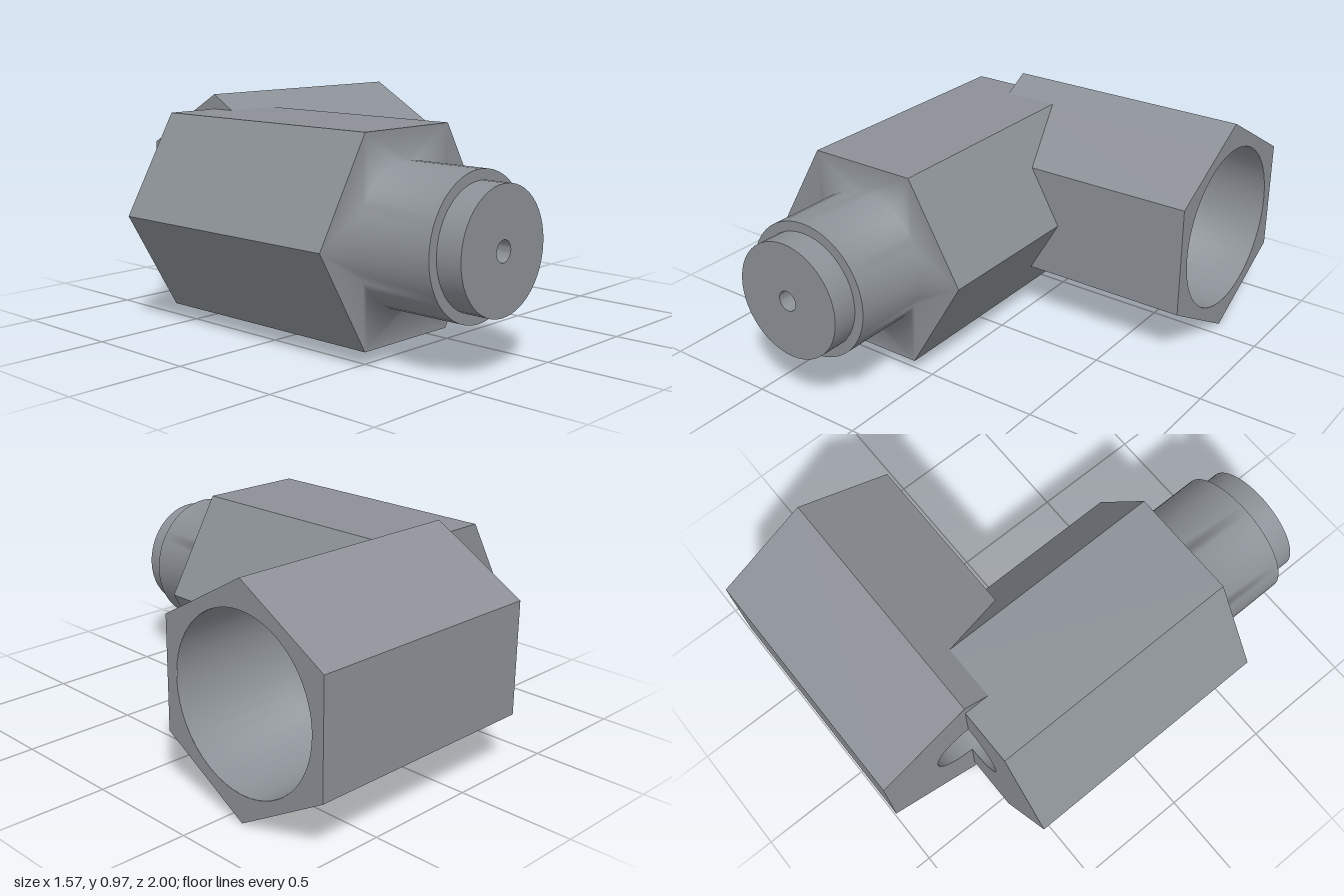
import * as THREE from 'three';
import { toCreasedNormals } from 'three/addons/utils/BufferGeometryUtils.js';

const R = 0.483;      // hexagon corner radius
const BORE = 0.17;    // radius of the two meeting bores
const SEG = 48;

const polar = (r, a) => [r * Math.cos(a), r * Math.sin(a)];
const hex = (turn) => Array.from({ length: 6 }, (_, k) => polar(R, turn + k * Math.PI / 3));

// Wall swept along z: each ring point is [x, y, startZ]
function sweep(ring, end, inward = false) {
  const pos = [];
  ring.forEach((p, i) => {
    const q = ring[(i + 1) % ring.length];
    const a = p, b = q, c = [q[0], q[1], end], d = [p[0], p[1], end];
    const tris = inward ? [a, c, b, a, d, c] : [a, b, c, a, c, d];
    tris.forEach((v) => pos.push(...v));
  });
  const g = new THREE.BufferGeometry();
  g.setAttribute('position', new THREE.Float32BufferAttribute(pos, 3));
  return toCreasedNormals(g, 0.6);
}

// Bore wall whose one half is mitred where it meets the other bore
function boreWall(side, end) {
  const ring = Array.from({ length: SEG }, (_, i) => {
    const [x, y] = polar(BORE, i * 2 * Math.PI / SEG);
    return [x, y, Math.max(0, side * x)];
  });
  return sweep(ring, end, true);
}

// Exposed part of a prism end, notched by half of the bore
function endCap(points) {
  const s = new THREE.Shape(points.map(([x, y]) => new THREE.Vector2(x, y)));
  s.lineTo(0, BORE);
  s.absarc(0, 0, BORE, Math.PI / 2, -Math.PI / 2, true);
  return new THREE.ShapeGeometry(s, SEG / 2);
}

// Surface of revolution about z from [radius, z] pairs
function turned(points) {
  return new THREE.LatheGeometry(points.map(([r, z]) => new THREE.Vector2(r, z)), SEG).rotateX(Math.PI / 2);
}

// Hexagon shoulder blended smoothly into the round spigot
function shoulderAndSpigot(r, z0, z1) {
  const pos = [], idx = [], per = SEG / 6;
  for (const z of [z0, z1]) {
    for (let i = 0; i < SEG; i++) pos.push(...polar(r, i * 2 * Math.PI / SEG), z);
  }
  hex(0).forEach((p) => pos.push(...p, z0));
  for (let i = 0; i < SEG; i++) {
    const j = (i + 1) % SEG;
    idx.push(i, j, SEG + j, i, SEG + j, SEG + i);
  }
  for (let k = 0; k < 6; k++) {
    const corner = 2 * SEG + k, next = 2 * SEG + (k + 1) % 6;
    for (let n = -per / 2; n < per / 2; n++) {
      const i = (k * per + n + SEG) % SEG;
      idx.push(corner, (i + 1) % SEG, i);
    }
    idx.push(corner, next, k * per + per / 2);
  }
  const g = new THREE.BufferGeometry();
  g.setAttribute('position', new THREE.Float32BufferAttribute(pos, 3));
  g.setIndex(idx);
  g.computeVertexNormals();
  return g;
}

export function createModel() {
  const metal = new THREE.MeshStandardMaterial({ color: 0x8c9197 });
  metal.name = 'grey metal';

  const model = new THREE.Group();
  model.name = 'elbowFitting';
  // Both arms start where their axes cross
  const arm = (name, turn) => {
    const g = new THREE.Group();
    g.name = name;
    g.position.set(-0.302, 0.484, -0.583);
    g.rotation.y = turn;
    model.add(g);
    return (part, geometry) => {
      const m = new THREE.Mesh(geometry, metal);
      m.name = part;
      g.add(m);
    };
  };

  // Male arm, running to the front
  const male = arm('maleArm', 0);
  const maleEnd = 1.123, step = 1.473, tip = 1.583, boreEnd = 1.0;
  // the corner inside the other arm is cut back to keep the bore clear
  male('maleHexBody', sweep(hex(0).map((p, k) => [...p, k === 0 ? 0.383 : 0]), maleEnd));
  const h = R * Math.sqrt(3) / 2;
  male('maleBackFace', endCap([[0, -h], [R / 2, -h], [R, 0], [R / 2, h], [0, h]]).rotateY(Math.PI));
  male('shoulderAndSpigot', shoulderAndSpigot(0.292, maleEnd, step));
  male('spigotTipAndJet', toCreasedNormals(turned([
    [0.292, step], [0.25, step], [0.25, tip], [0.043, tip], [0.043, boreEnd], [BORE, boreEnd],
  ]), 0.6));
  male('maleBore', boreWall(1, boreEnd));

  // Female arm, running to the left
  const female = arm('femaleArm', Math.PI / 2);
  const mouth = 1.087, socket = 0.363, seat = 0.4;
  const edge = 0.12, edgeY = R - edge / Math.sqrt(3);
  const ring = hex(Math.PI / 6).map((p, k) => [...p, k === 2 || k === 3 ? 0.252 : 0]);
  ring.splice(4, 0, [-edge, -edgeY, 0]);
  ring.splice(2, 0, [-edge, edgeY, 0]);
  female('femaleHexBody', sweep(ring, mouth));
  female('femaleEndFace', endCap([
    [0, -edgeY], [-edge, -edgeY], [0, -R], [h, -R / 2], [h, R / 2], [0, R], [-edge, edgeY], [0, edgeY],
  ]).rotateX(Math.PI));

  const face = new THREE.Shape(hex(Math.PI / 6).map(([x, y]) => new THREE.Vector2(x, y)));
  face.holes.push(new THREE.Path().absarc(0, 0, socket, 0, Math.PI * 2, true));
  female('mouthFace', new THREE.ShapeGeometry(face, SEG).translate(0, 0, mouth));
  female('socket', turned([[socket, mouth], [socket, 0.52], [BORE, seat]]));
  female('femaleBore', boreWall(-1, seat));

  return model;
}
